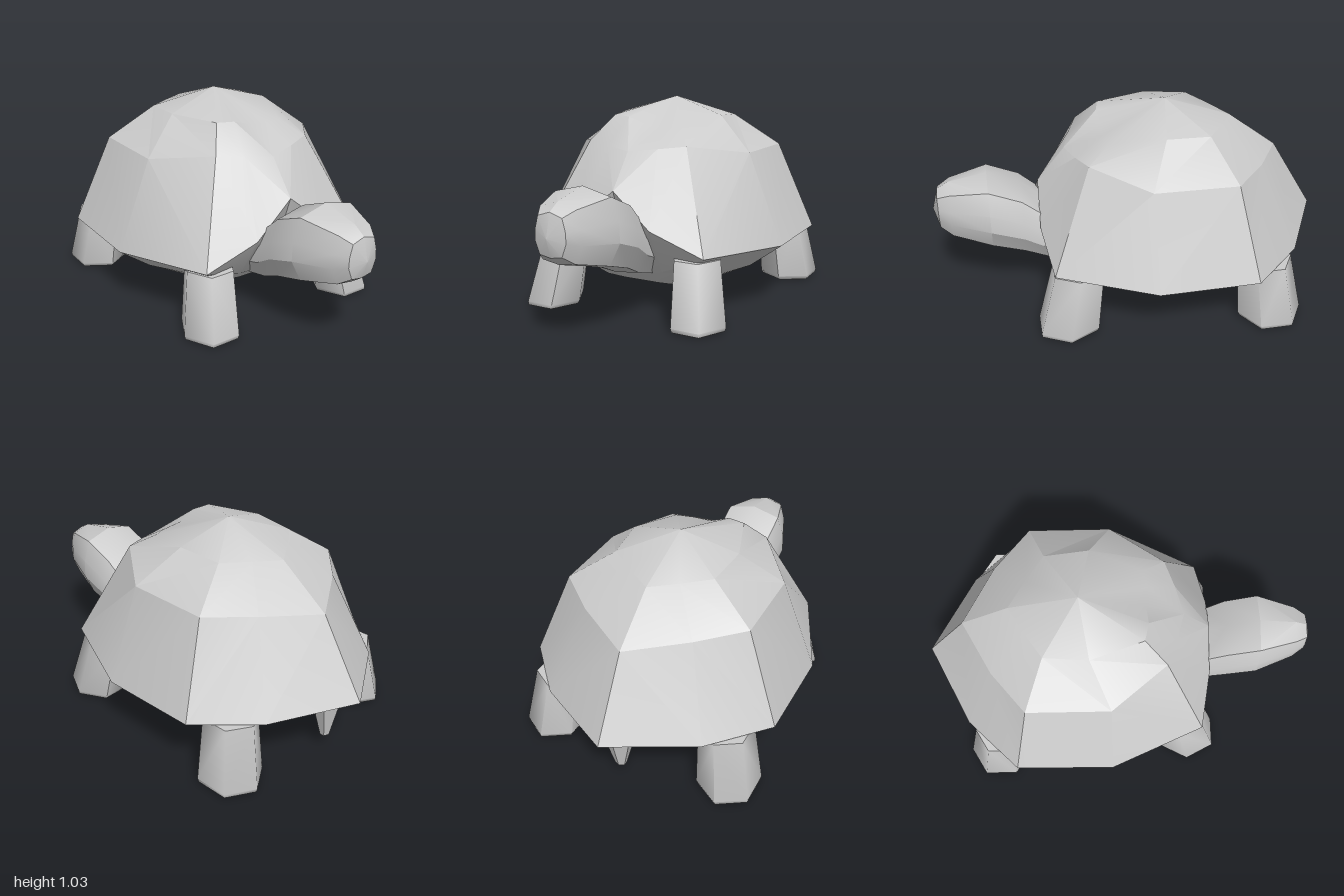
import * as THREE from 'three';
import { toCreasedNormals } from 'three/addons/utils/BufferGeometryUtils.js';

const material = new THREE.MeshStandardMaterial({ color: 0xcccccc });

// Completes half a cross-section (first and last points on x = 0) by mirroring it.
function mirrorRing(half) {
  const other = half.slice(1, -1).reverse().map(([x, y, z]) => [-x, y, z]);
  return [...half, ...other];
}

// Skins a stack of equal-length rings and closes both ends with a tip point.
function loft(name, startTip, rings, endTip, crease) {
  const n = rings[0].length;
  const pos = [];
  const tri = (a, b, c) => pos.push(...a, ...b, ...c);
  for (let j = 0; j < n; j++) {
    const k = (j + 1) % n;
    tri(startTip, rings[0][k], rings[0][j]);
    for (let r = 0; r < rings.length - 1; r++) {
      const lo = rings[r], hi = rings[r + 1];
      // Alternate diagonals on each half so both sides match
      if (j < n / 2) {
        tri(lo[j], lo[k], hi[k]);
        tri(lo[j], hi[k], hi[j]);
      } else {
        tri(lo[j], lo[k], hi[j]);
        tri(lo[k], hi[k], hi[j]);
      }
    }
    const last = rings[rings.length - 1];
    tri(last[j], last[k], endTip);
  }
  const geometry = new THREE.BufferGeometry();
  geometry.setAttribute('position', new THREE.Float32BufferAttribute(pos, 3));
  const mesh = new THREE.Mesh(toCreasedNormals(geometry, crease), material);
  mesh.name = name;
  return mesh;
}

// Faceted shell and belly: rings run front -> left side -> back
function createShell() {
  const bellyLow = [[0, 0.12, 0.2], [0.1, 0.12, 0.2], [0.22, 0.115, 0.17], [0.28, 0.11, 0],
    [0.27, 0.1, -0.4], [0.15, 0.1, -0.48], [0, 0.1, -0.52]];
  const bellyMid = [[0, 0.22, 0.32], [0.18, 0.22, 0.32], [0.33, 0.22, 0.28], [0.5, 0.21, -0.03],
    [0.5, 0.21, -0.45], [0.29, 0.21, -0.64], [0, 0.21, -0.75]];
  const rim = [[0, 0.63, 0.47], [0.2, 0.46, 0.48], [0.46, 0.35, 0.44], [0.66, 0.33, -0.03],
    [0.655, 0.33, -0.52], [0.41, 0.33, -0.78], [0, 0.34, -1]];
  const middle = [[0, 0.8, 0.33], [0.14, 0.815, 0.29], [0.27, 0.83, 0.24], [0.48, 0.78, -0.03],
    [0.48, 0.775, -0.44], [0.28, 0.76, -0.61], [0, 0.72, -0.77]];
  const upper = [[0, 0.91, 0.14], [0.1, 0.945, 0.15], [0.19, 0.95, 0.13], [0.28, 0.945, -0.13],
    [0.26, 0.93, -0.35], [0.13, 0.92, -0.44], [0, 0.91, -0.52]];
  const rings = [bellyLow, bellyMid, rim, middle, upper].map(mirrorRing);
  // The front left panel beside the peak is sunken
  for (const i of [1, 2]) rings[4][i] = [upper[i][0], 0.9, upper[i][2]];
  return loft('shell', [0, 0.09, -0.18], rings, [0, 1.03, -0.18], 0.4);
}

// Neck and head: sections [z, half width, bottom, top] from inside the shell to the nose
function createHead() {
  const sections = [[0.2, 0.15, 0.16, 0.4], [0.45, 0.18, 0.23, 0.53], [0.56, 0.19, 0.28, 0.63],
    [0.72, 0.19, 0.33, 0.7], [0.91, 0.12, 0.385, 0.665], [0.97, 0.08, 0.43, 0.63]];
  const rings = sections.map(([z, w, b, t]) => {
    const y = (f) => b + (t - b) * f;
    return mirrorRing([[0, b, z], [0.72 * w, y(0.05), z], [w, y(0.35), z], [0.98 * w, y(0.6), z],
      [0.78 * w, y(0.9), z], [0, t, z]]);
  });
  return loft('head', [0, 0.28, 0.2], rings, [0, 0.52, 1], 0.5);
}

// Six-sided leg, flaring to a softly bevelled foot
function createLeg(name, foot, top, rx, rz, turn) {
  const height = 0.325;
  const ring = (y, scale) => {
    const cx = THREE.MathUtils.lerp(foot[0], top[0], y / height);
    const cz = THREE.MathUtils.lerp(foot[1], top[1], y / height);
    return Array.from({ length: 6 }, (_, i) => {
      const a = turn + (i * Math.PI) / 3;
      return [cx + rx * scale * Math.sin(a), y, cz + rz * scale * Math.cos(a)];
    });
  };
  const rings = [ring(0, 0.87), ring(0.007, 0.96), ring(0.025, 1), ring(height, 0.84)];
  return loft(name, [foot[0], 0, foot[1]], rings, [top[0], height, top[1]], 1.1);
}

// Blunt pointed tail hanging below the back rim
function createTail() {
  const tail = new THREE.Mesh(
    toCreasedNormals(new THREE.CylinderGeometry(0.095, 0.03, 0.22, 6), 0.5), material);
  tail.scale.z = 0.75;
  tail.position.set(0, 0.19, -0.825);
  tail.name = 'tail';
  return tail;
}

export function createModel() {
  const tortoise = new THREE.Group();
  tortoise.name = 'tortoise';
  tortoise.add(createShell(), createHead(), createTail());
  for (const [side, s] of [['left', 1], ['right', -1]]) {
    tortoise.add(
      createLeg(`${side}FrontLeg`, [0.41 * s, 0.385], [0.37 * s, 0.32], 0.145, 0.165, Math.PI / 6),
      createLeg(`${side}BackLeg`, [0.49 * s, -0.645], [0.45 * s, -0.605], 0.155, 0.165, 0));
  }
  return tortoise;
}
